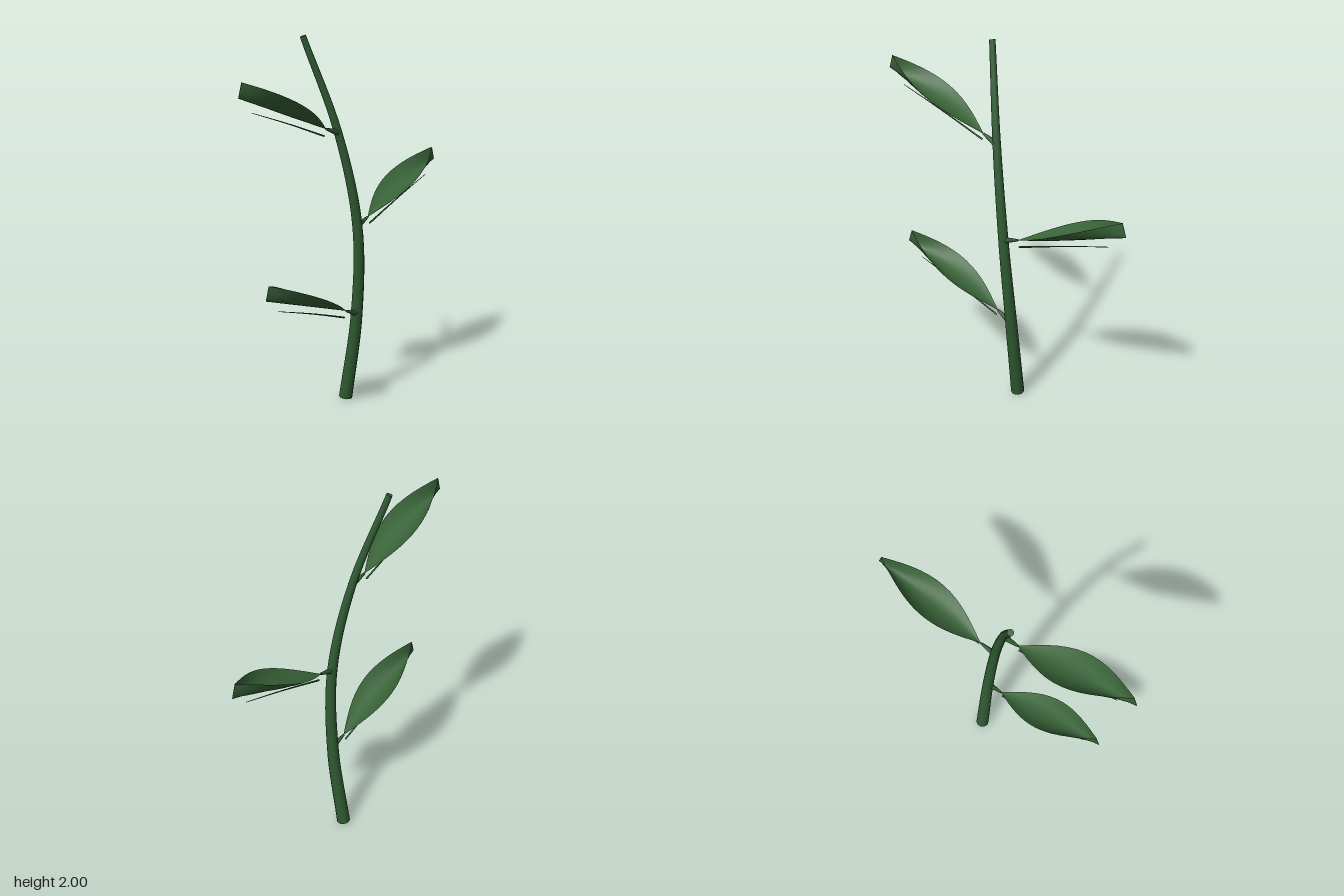
import * as THREE from 'three';

const stemGreen = new THREE.MeshStandardMaterial({ color: 0x2f5a32 });
stemGreen.name = 'stem green';
const leafGreen = new THREE.MeshStandardMaterial({ color: 0x386338, side: THREE.DoubleSide });
leafGreen.name = 'leaf green';

const V = (x, y, z) => new THREE.Vector3(x, y, z);

// Tube along a curve whose radius shrinks from r0 to r1, closed at both ends
function taperedTube(name, points, r0, r1, segments, sides) {
  const group = new THREE.Group();
  group.name = name;
  const curve = new THREE.CatmullRomCurve3(points);
  const geo = new THREE.TubeGeometry(curve, segments, 1, sides, false);
  const pos = geo.attributes.position;
  const p = V(0, 0, 0);
  for (let i = 0; i <= segments; i++) {
    const centre = curve.getPointAt(i / segments);
    const r = THREE.MathUtils.lerp(r0, r1, i / segments);
    for (let j = 0; j <= sides; j++) {
      const k = i * (sides + 1) + j;
      p.fromBufferAttribute(pos, k).sub(centre).multiplyScalar(r).add(centre);
      pos.setXYZ(k, p.x, p.y, p.z);
    }
  }
  const side = new THREE.Mesh(geo, stemGreen);
  side.name = name + 'Side';
  group.add(side);
  for (const [t, r, sign] of [[0, r0, -1], [1, r1, 1]]) {
    const cap = new THREE.Mesh(new THREE.CircleGeometry(r, sides), stemGreen);
    cap.name = name + 'End';
    cap.position.copy(curve.getPointAt(t));
    cap.quaternion.setFromUnitVectors(V(0, 0, 1), curve.getTangentAt(t).multiplyScalar(sign));
    group.add(cap);
  }
  return group;
}

// Cupped blade along +x: the margins rise above the midrib, more so toward the tip
function bladeGeometry(length, halfWidth, cup) {
  const geo = new THREE.PlaneGeometry(1, 2, 14, 8);
  geo.rotateX(-Math.PI / 2);
  const pos = geo.attributes.position;
  for (let i = 0; i < pos.count; i++) {
    const t = pos.getX(i) + 0.5;
    const u = pos.getZ(i);
    pos.setXYZ(i,
      t * length,
      cup * Math.sin(t * Math.PI / 2) * u * u,
      u * (halfWidth * Math.sin(Math.PI * t) + 0.001));
  }
  geo.computeVertexNormals();
  return geo;
}

export function createModel() {
  const model = new THREE.Group();
  model.name = 'leafySprig';

  // Bowed main stem
  model.add(taperedTube('stem', [
    V(0.045, 0.008, -0.085), V(0.073, 0.5, -0.02), V(0.052, 1, 0.017),
    V(-0.05, 1.5, -0.008), V(-0.21, 1.995, -0.085),
  ], 0.037, 0.016, 32, 12));

  const blade = bladeGeometry(0.677, 0.1, 0.075);

  // Alternating leaves: stem joint, blade base, side
  const leaves = [
    ['lowerLeaf', V(0.07, 0.51, -0.01), V(-0.015, 0.545, 0.01), -1],
    ['middleLeaf', V(0.052, 1.005, 0.017), V(0.14, 1.035, -0.015), 1],
    ['upperLeaf', V(-0.05, 1.505, -0.005), V(-0.14, 1.535, 0.015), -1],
  ];
  for (const [name, joint, base, s] of leaves) {
    const leaf = new THREE.Group();
    leaf.name = name;
    leaf.add(taperedTube('leafStalk', [joint, base], 0.018, 0.006, 4, 8));

    const dir = V(0.605 * s, 0.22, -0.21 * s).normalize();
    const across = V(0, 1, 0).cross(dir).normalize().negate();
    const up = across.clone().cross(dir);
    const mesh = new THREE.Mesh(blade, leafGreen);
    mesh.name = 'blade';
    mesh.quaternion.setFromRotationMatrix(new THREE.Matrix4().makeBasis(dir, up, across));
    mesh.position.copy(base);
    leaf.add(mesh);

    // Slender rib running just below the blade
    const ribPoint = (t, drop) => base.clone().addScaledVector(dir, t).add(V(0.012 * s, -drop, 0));
    leaf.add(taperedTube('rib',
      [ribPoint(0, 0.035), ribPoint(0.28, 0.034), ribPoint(0.565, 0.041)], 0.005, 0.0015, 10, 6));
    model.add(leaf);
  }
  return model;
}
